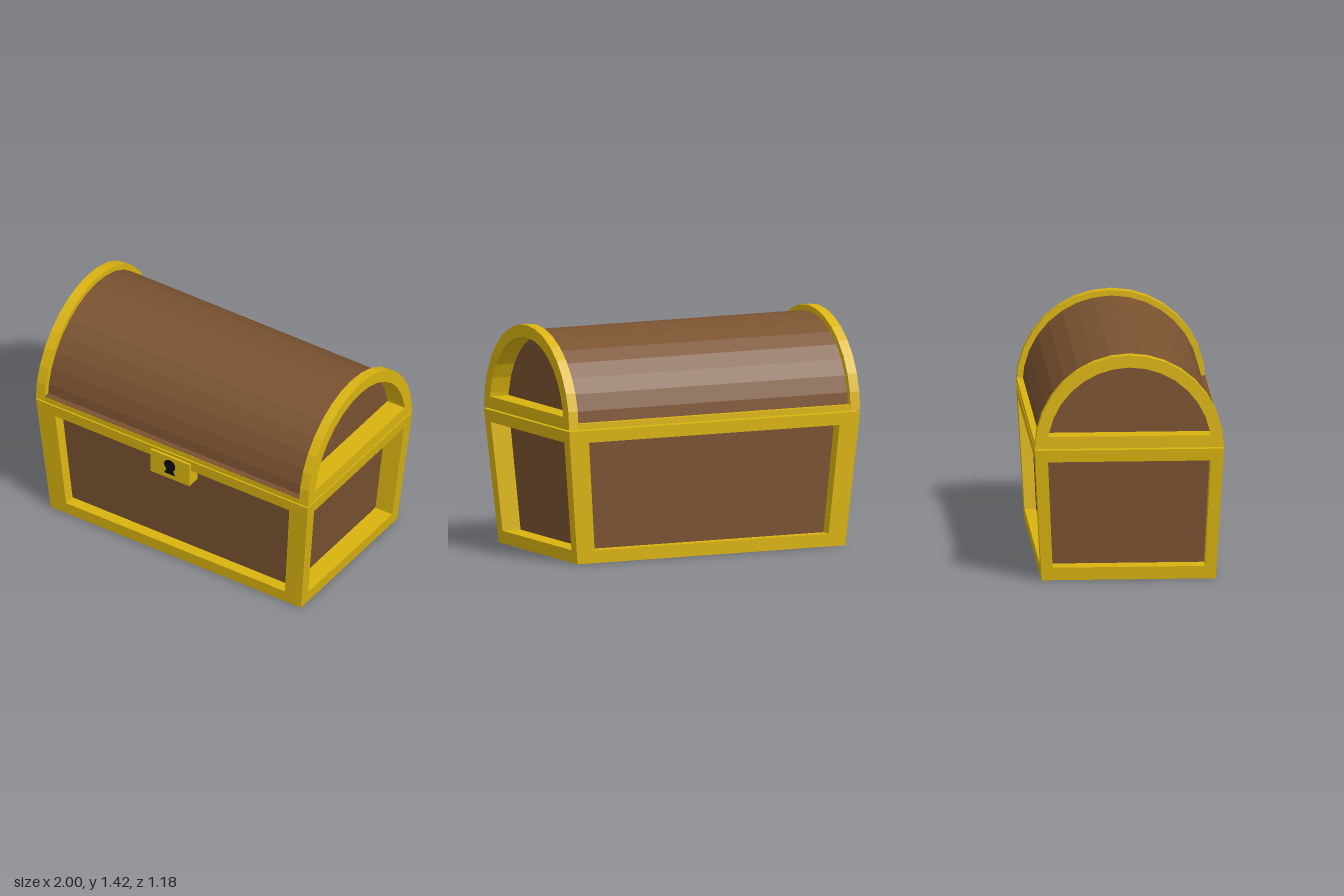
import * as THREE from 'three';

const mat = (color) => new THREE.MeshStandardMaterial({ color, flatShading: true, side: THREE.DoubleSide });
const gold = mat(0xd9b310), wood = mat(0x7a5230), black = mat(0x0a0a0a);

const BASE_H = 0.83, LID_Y = 0.84, IN = 0.867; // IN: inner edge of the frame as a fraction of the half size
const SEGS = 16;

function add(parent, name, geometry, material) {
  const mesh = new THREE.Mesh(geometry, material);
  mesh.name = name;
  parent.add(mesh);
  return mesh;
}

function box(x0, x1, y0, y1, z0, z1) {
  return new THREE.BoxGeometry(x1 - x0, y1 - y0, z1 - z0)
    .translate((x0 + x1) / 2, (y0 + y1) / 2, (z0 + z1) / 2);
}

// Box given in fractions of the half width and depth, widened towards the top
function tapered(...bounds) {
  const g = box(...bounds), p = g.attributes.position;
  for (let i = 0; i < p.count; i++) {
    const t = p.getY(i) / BASE_H;
    p.setX(i, p.getX(i) * (0.92 + 0.08 * t));
    p.setZ(i, p.getZ(i) * (0.536 + 0.045 * t));
  }
  g.computeVertexNormals();
  return g;
}

// Points of an arch of radius r whose straight bottom lies at height h
function archPoints(r, h) {
  const w = Math.sqrt(r * r - h * h), pts = [new THREE.Vector2(w, h)];
  for (let i = 1; i < SEGS; i++) {
    const a = (i / SEGS) * Math.PI;
    pts.push(new THREE.Vector2(Math.cos(a) * r, Math.sin(a) * r));
  }
  pts.push(new THREE.Vector2(-w, h));
  return pts;
}

// Arched slab across z, spanning x0 to x1, with an optional arched opening
function arch(r, hole, x0, x1, h = 0) {
  const shape = new THREE.Shape(archPoints(r, h));
  if (hole) shape.holes.push(new THREE.Path(archPoints(hole, 0.075)));
  return new THREE.ExtrudeGeometry(shape, { depth: x1 - x0, bevelEnabled: false })
    .rotateY(Math.PI / 2).translate(x0, LID_Y, 0);
}

function buildBase() {
  const base = new THREE.Group();
  base.name = 'base';
  add(base, 'basePanels', tapered(-IN, IN, 0.07, BASE_H - 0.005, -IN, IN), wood);
  for (const s of [-1, 1]) {
    const a = s < 0 ? -1 : IN, b = s < 0 ? -IN : 1;
    // Corner posts
    for (const [c, d] of [[-1, -IN], [IN, 1]]) add(base, 'cornerPost', tapered(a, b, 0, BASE_H, c, d), gold);
    // Bottom and top rails
    for (const [y0, y1] of [[0, 0.08], [0.755, BASE_H]]) {
      add(base, 'longRail', tapered(-IN, IN, y0, y1, a, b), gold);
      add(base, 'endRail', tapered(a, b, y0, y1, -IN, IN), gold);
    }
  }
  return base;
}

function buildLid() {
  const lid = new THREE.Group();
  lid.name = 'lid';
  // Barrel roof, open at both ends
  const barrel = new THREE.CylinderGeometry(0.545, 0.545, 1.88, SEGS, 1, true, 0, Math.PI)
    .rotateZ(Math.PI / 2).translate(0, LID_Y, 0);
  add(lid, 'barrelRoof', barrel, wood);
  add(lid, 'lidFloor', box(-0.93, 0.93, LID_Y, LID_Y + 0.01, -0.56, 0.56), gold);
  for (const s of [-1, 1]) {
    const span = (a, b) => (s > 0 ? [a, b] : [-b, -a]);
    add(lid, 'archFrame', arch(0.581, 0.505, ...span(0.935, 1)), gold);
    add(lid, 'archLining', arch(0.535, 0.505, ...span(0.867, 0.936)), gold);
    add(lid, 'endPanel', arch(0.52, 0, ...span(0.855, 0.872), 0.06), wood);
    const z = s > 0 ? [0.53, 0.581] : [-0.581, -0.53];
    add(lid, 'lidRail', box(-0.936, 0.936, LID_Y, 0.875, ...z), gold);
  }
  // Wooden ledge on the front rail
  add(lid, 'frontLedge', box(-0.935, 0.935, 0.874, 0.878, 0.53, 0.579), wood);
  return lid;
}

function buildLock() {
  const lock = new THREE.Group();
  lock.name = 'lock';
  add(lock, 'lockPlate', box(-0.143, 0.143, -0.082, 0.082, -0.09, 0), gold);
  // Keyhole: round top over a flared slot
  add(lock, 'keyholeRound', new THREE.CircleGeometry(0.041, 24).translate(0, 0.019, 0.002), black);
  const slot = new THREE.Shape([[-0.04, -0.048], [0.04, -0.048], [0.016, 0.005], [-0.016, 0.005]]
    .map(([x, y]) => new THREE.Vector2(x, y)));
  add(lock, 'keyholeSlot', new THREE.ShapeGeometry(slot).translate(0, 0, 0.002), black);
  lock.position.set(-0.004, 0.73, 0.597);
  return lock;
}

export function createModel() {
  const chest = new THREE.Group();
  chest.name = 'chest';
  chest.add(buildBase(), buildLid(), buildLock());
  chest.position.z = -0.006;
  const model = new THREE.Group();
  model.name = 'treasureChest';
  model.add(chest);
  return model;
}
